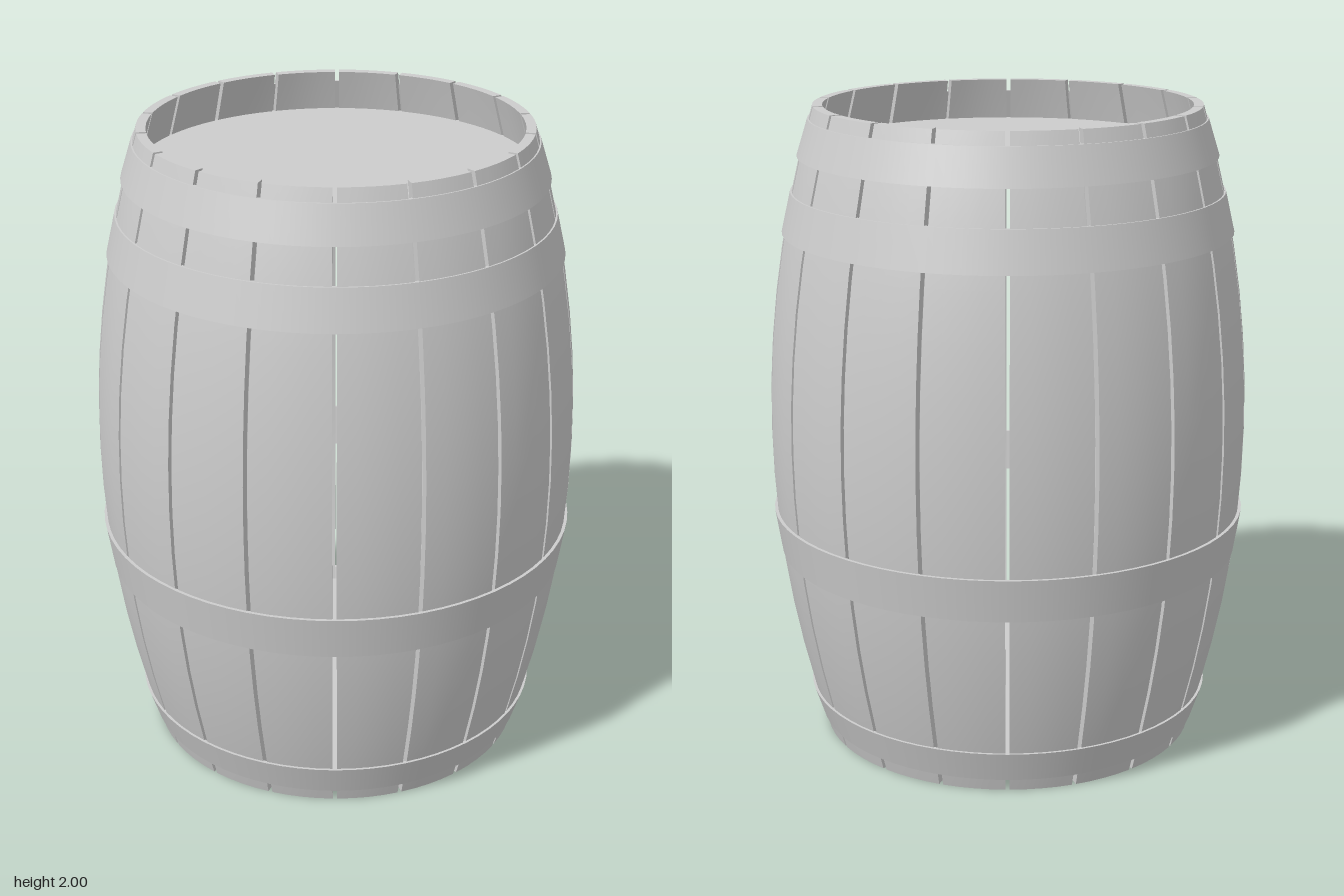
import * as THREE from 'three';

const STAVES = 18;
const THICKNESS = 0.03;
const GAP = 0.013;

// Outer radius of the bulging body at height y
const bodyRadius = (y) => 0.745 - 0.153 * (y - 1) ** 2;

// One curved plank: a box bent around the y axis
function staveGeometry() {
  const geo = new THREE.BoxGeometry(1, 2, 1, 4, 14, 1);
  const pos = geo.attributes.position;
  for (let i = 0; i < pos.count; i++) {
    const y = pos.getY(i) + 1;
    const r = bodyRadius(y) - (0.5 - pos.getZ(i)) * THICKNESS;
    const angle = pos.getX(i) * ((Math.PI * 2) / STAVES - GAP / r);
    pos.setXYZ(i, r * Math.sin(angle), y, r * Math.cos(angle));
  }
  geo.computeVertexNormals();
  return geo;
}

// Conical band with a thin rectangular section; each side is its own lathe for crisp edges
function makeHoop(name, y0, r0, y1, r1, material) {
  const t = 0.012;
  const corners = [[r0 - t, y0], [r0, y0], [r1, y1], [r1 - t, y1]].map(([r, y]) => new THREE.Vector2(r, y));
  const hoop = new THREE.Group();
  hoop.name = name;
  corners.forEach((corner, i) => {
    const side = new THREE.Mesh(new THREE.LatheGeometry([corner, corners[(i + 1) % 4]], 72), material);
    side.name = name + 'Side' + (i + 1);
    hoop.add(side);
  });
  return hoop;
}

export function createModel() {
  const barrel = new THREE.Group();
  barrel.name = 'barrel';
  const grey = new THREE.MeshStandardMaterial({ color: 0xcccccc });
  grey.name = 'plain grey';

  // Ring of staves
  const staveGeo = staveGeometry();
  for (let i = 0; i < STAVES; i++) {
    const stave = new THREE.Mesh(staveGeo, grey);
    stave.name = 'stave' + (i + 1);
    stave.rotation.y = (i * Math.PI * 2) / STAVES;
    barrel.add(stave);
  }

  // Hoops: bottom height and radius, top height and radius
  [
    ['bottomHoop', 0.04, 0.607, 0.14, 0.64],
    ['lowerHoop', 0.6, 0.723, 0.735, 0.744],
    ['upperHoop', 1.615, 0.695, 1.74, 0.666],
    ['topHoop', 1.848, 0.643, 1.96, 0.608],
  ].forEach(([name, ...size]) => barrel.add(makeHoop(name, ...size, grey)));

  // Recessed heads closing both ends
  for (const [name, y] of [['topHead', 1.86], ['bottomHead', 0.1]]) {
    const radius = bodyRadius(y) - THICKNESS + 0.004;
    const head = new THREE.Mesh(new THREE.CylinderGeometry(radius, radius, 0.02, 72), grey);
    head.name = name;
    head.position.y = y;
    barrel.add(head);
  }
  return barrel;
}
